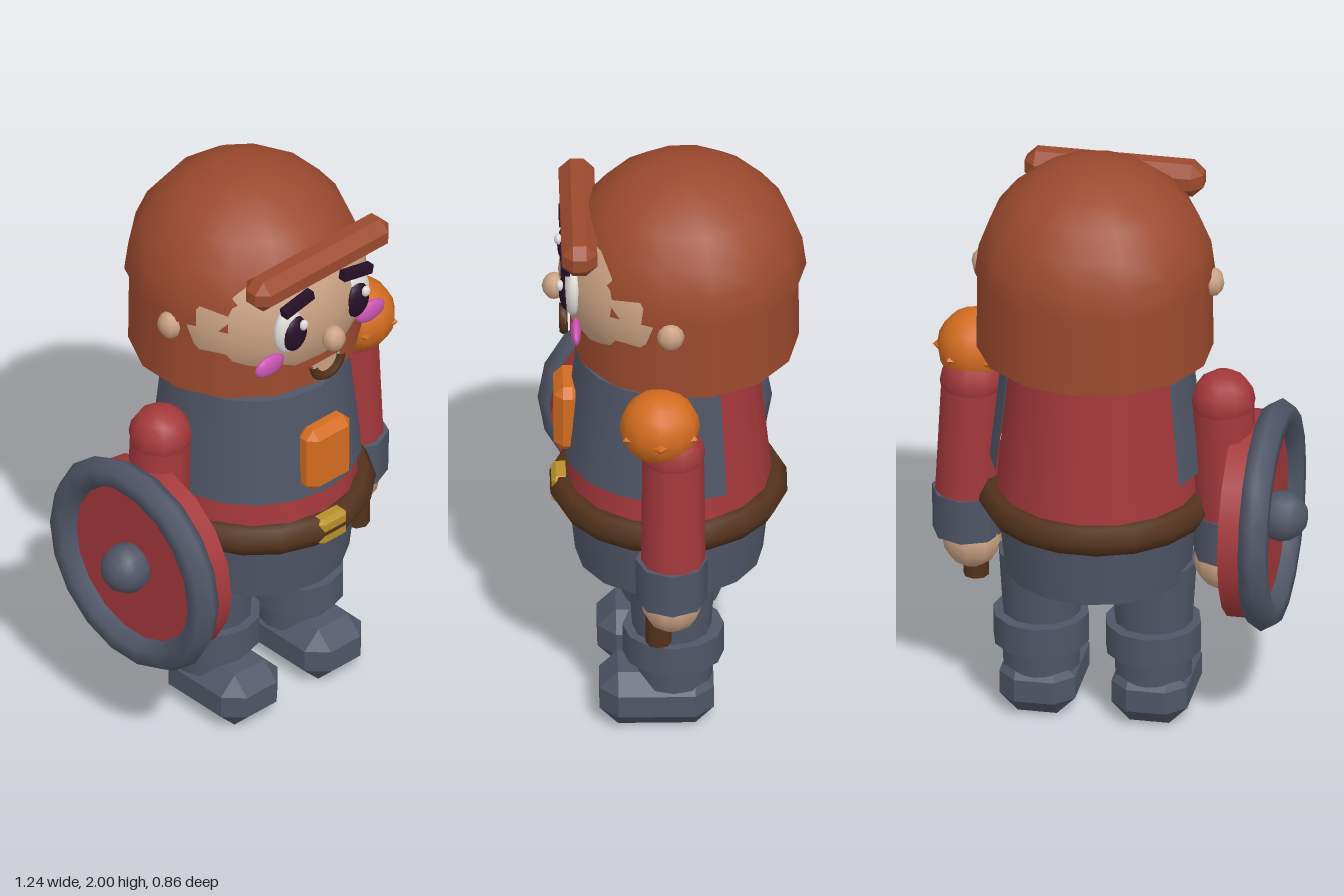
import * as THREE from 'three';
import { ConvexGeometry } from 'three/addons/geometries/ConvexGeometry.js';

const mat = (name, color) => Object.assign(new THREE.MeshStandardMaterial({ color }), { name });

export function createModel() {
  const model = new THREE.Group();
  model.name = 'shieldBearer';
  const grey = mat('slate grey', 0x505667), red = mat('tunic red', 0xa4383b);
  const rust = mat('rust brown', 0x9c4a2e), orange = mat('orange', 0xd36c20);
  const skin = mat('skin', 0xcaa283), brown = mat('dark brown', 0x53321c);
  const gold = mat('gold', 0xb8902a), white = mat('white', 0xdedad8);
  const black = mat('plum black', 0x260f26), pink = mat('pink', 0xcb55b4);
  rust.side = grey.side = THREE.DoubleSide;
  const CX = 0.07; // body axis; the shield makes the figure lopsided

  const add = (name, geo, material, x, y, z, parent = model) => {
    const m = new THREE.Mesh(geo, material);
    m.name = name;
    m.position.set(x, y, z);
    parent.add(m);
    return m;
  };
  const ball = (name, material, x, y, z, rx, ry = rx, rz = rx, ws = 10, hs = 8) => {
    const g = new THREE.SphereGeometry(1, ws, hs);
    g.rotateY(Math.PI / 2).scale(rx, ry, rz);
    return add(name, g, material, x, y, z);
  };
  // Upright tapered cylinder between two heights
  const drum = (name, material, x, z, y0, y1, r0, r1, sides = 16, zScale = 1) => {
    const g = new THREE.CylinderGeometry(r1, r0, y1 - y0, sides);
    g.scale(1, 1, zScale);
    return add(name, g, material, x, (y0 + y1) / 2, z);
  };
  // Box with chamfered edges and corners
  const bevelBox = (w, h, d, b) => {
    const pts = [];
    for (const sx of [-1, 1]) for (const sy of [-1, 1]) for (const sz of [-1, 1]) {
      const X = sx * w / 2, Y = sy * h / 2, Z = sz * d / 2;
      pts.push(new THREE.Vector3(X, Y - sy * b, Z - sz * b),
        new THREE.Vector3(X - sx * b, Y, Z - sz * b),
        new THREE.Vector3(X - sx * b, Y - sy * b, Z));
    }
    return new ConvexGeometry(pts);
  };

  // Head and neck
  ball('head', skin, CX, 1.6, 0, 0.37, 0.35, 0.37, 20, 16);
  drum('neck', skin, CX, -0.02, 1.27, 1.37, 0.25, 0.29, 16, 0.85);

  // Helmet: dome, straight lower guard, brow bar
  const dome = new THREE.SphereGeometry(1, 14, 6, 0, Math.PI * 2, 0, Math.PI / 2);
  dome.rotateY(Math.PI / 2).scale(0.39, 0.39, 0.395);
  add('helmetDome', dome, rust, CX, 1.61, -0.04);
  const guard = new THREE.CylinderGeometry(0.382, 0.385, 0.27, 14, 1, true);
  guard.scale(1, 1, 0.965);
  add('helmetGuard', guard, rust, CX, 1.475, -0.04);
  add('helmetBrowBar', bevelBox(0.59, 0.115, 0.115, 0.036), rust, CX, 1.798, 0.305);

  // Face
  ball('nose', skin, CX, 1.535, 0.383, 0.04, 0.046, 0.04, 8, 6);
  for (const s of [-1, 1]) {
    ball('ear', skin, CX + s * 0.382, 1.58, 0.012, 0.035, 0.047, 0.045, 8, 6);
    ball('eyeWhite', white, CX + s * 0.145, 1.612, 0.325, 0.062, 0.09, 0.032, 14, 10);
    ball('iris', black, CX + s * 0.137, 1.603, 0.345, 0.05, 0.066, 0.025, 12, 10);
    ball('eyeGlint', white, CX + s * 0.137 + 0.02, 1.637, 0.367, 0.017, 0.019, 0.014, 8, 6);
    ball('cheek', pink, CX + s * 0.222, 1.5, 0.317, 0.064, 0.038, 0.017, 12, 8);
    const brow = add('eyebrow', new THREE.BoxGeometry(0.125, 0.032, 0.03), black, CX + s * 0.13, 1.72, 0.35);
    brow.rotation.z = -s * 0.2;
  }
  const mouth = new THREE.TorusGeometry(0.06, 0.016, 6, 12, Math.PI);
  add('mouth', mouth.rotateZ(Math.PI), brown, CX, 1.435, 0.352);
  add('mouthInside', new THREE.CircleGeometry(0.06, 12, Math.PI, Math.PI), skin, CX, 1.435, 0.347);

  // Torso, breastplate open at the back, chest badge
  drum('tunic', red, CX, 0.01, 0.76, 1.295, 0.338, 0.285);
  const arc = 2.1;
  add('breastplate', new THREE.CylinderGeometry(0.308, 0.35, 0.385, 12, 1, true, -arc, arc * 2), grey, CX, 1.1075, 0.005);
  // Flat collar closing the breastplate's top edge
  const collar = new THREE.RingGeometry(0.2, 0.308, 12, 1, -Math.PI / 2 - arc, arc * 2);
  add('breastplateTop', collar.rotateX(-Math.PI / 2), grey, CX, 1.3, 0.005);
  add('chestBadge', bevelBox(0.19, 0.24, 0.09, 0.03), orange, CX, 1.062, 0.34);

  // Belt, buckle, hips
  const belt = new THREE.TorusGeometry(0.335, 0.055, 6, 18);
  add('belt', belt.rotateX(Math.PI / 2), brown, CX, 0.775, 0.012);
  add('buckle', bevelBox(0.12, 0.1, 0.06, 0.015), gold, CX, 0.775, 0.362);
  drum('hips', grey, CX, 0.01, 0.52, 0.76, 0.305, 0.33);

  // Legs and arms, mirrored about the body axis
  for (const s of [-1, 1]) {
    const lx = CX + s * 0.185, ax = CX + s * 0.415;
    drum('leg', grey, lx, 0.005, 0.32, 0.56, 0.127, 0.142, 12);
    drum('bootCuff', grey, lx, 0.0, 0.24, 0.342, 0.157, 0.157, 12, 1.05);
    drum('ankle', grey, lx, 0.0, 0.15, 0.25, 0.126, 0.13, 12);
    add('boot', bevelBox(0.25, 0.197, 0.37, 0.06), grey, lx, 0.0985, 0.055);

    const arm = drum('arm', red, ax + s * 0.008, 0.005, 0.72, 1.17, 0.105, 0.1, 10);
    arm.rotation.z = s * 0.04;
    ball('shoulder', red, ax, 1.155, 0.005, 0.105, 0.105, 0.105, 10, 8);
    drum('wristCuff', grey, ax + s * 0.015, 0.01, 0.6, 0.755, 0.115, 0.118, 8);
    ball('hand', skin, ax, 0.58, 0.01, 0.098, 0.105, 0.1, 10, 8);
  }
  drum('stickHandle', brown, 0.48, 0.052, 0.42, 0.6, 0.042, 0.042, 8);

  // Studded shoulder guard on the left arm
  ball('shoulderGuard', orange, 0.483, 1.255, 0.048, 0.124, 0.125, 0.13, 12, 10);
  for (let i = 0; i < 6; i++) {
    const a = Math.PI / 6 + i * Math.PI / 3;
    add('guardStud', new THREE.OctahedronGeometry(0.032), orange,
      0.483 + Math.sin(a) * 0.108, 1.245, 0.048 + Math.cos(a) * 0.108).rotation.y = a;
  }

  // Round shield on the right arm, facing outward
  const shield = new THREE.Group();
  shield.name = 'shield';
  shield.position.set(-0.497, 0.732, 0.045);
  model.add(shield);
  const disc = new THREE.CylinderGeometry(0.34, 0.34, 0.115, 18);
  add('shieldDisc', disc.rotateZ(Math.PI / 2), red, 0.0575, 0, 0, shield);
  const rim = new THREE.TorusGeometry(0.328, 0.052, 6, 18);
  add('shieldRim', rim.rotateY(Math.PI / 2), grey, 0, 0, 0, shield);
  const boss = new THREE.SphereGeometry(0.085, 10, 8);
  add('shieldBoss', boss.rotateZ(Math.PI / 2), grey, -0.035, 0, 0, shield);

  return model;
}
